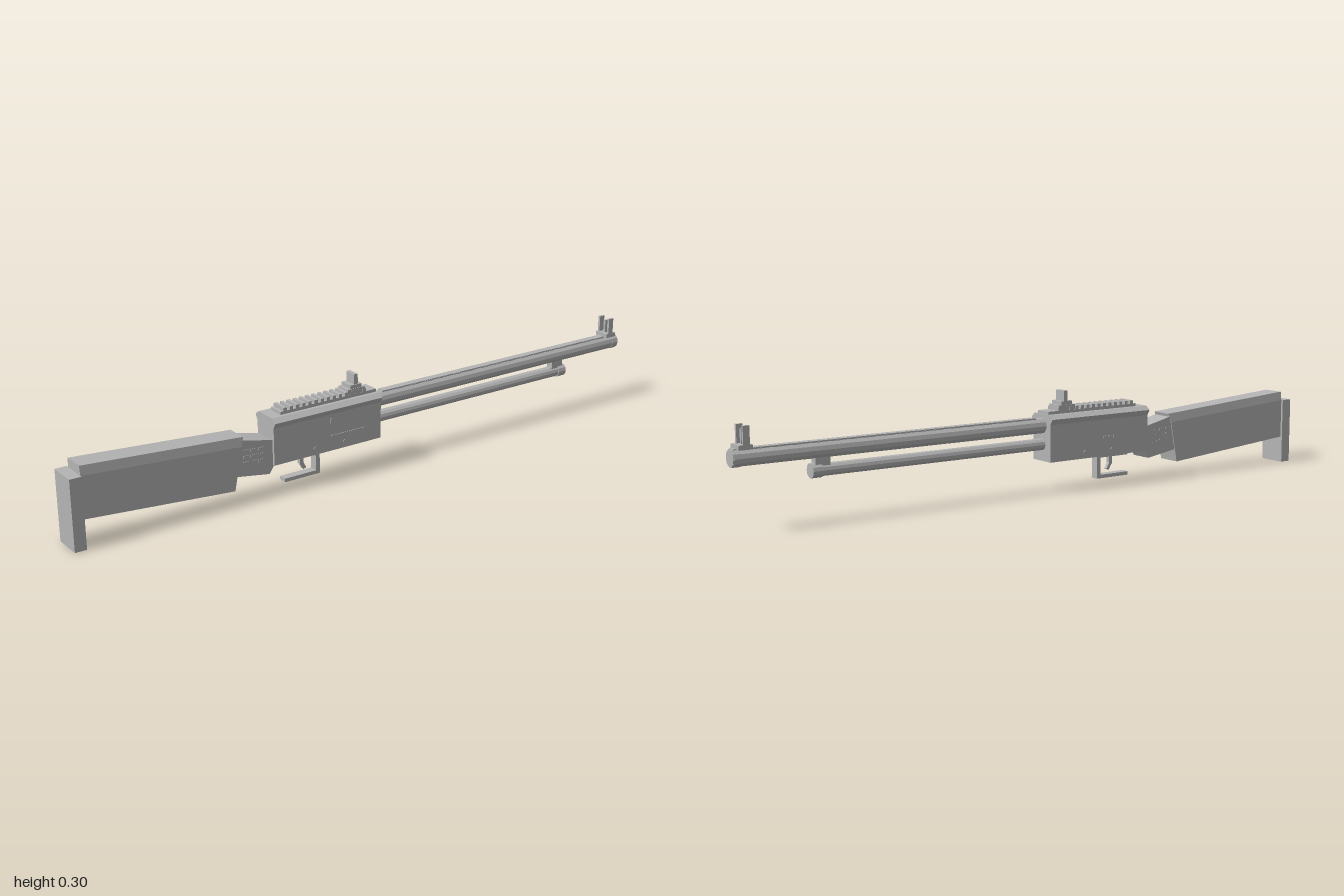
import * as THREE from 'three';

export function createModel() {
  const root = new THREE.Group();
  root.name = 'longGun';
  const grey = new THREE.MeshStandardMaterial({ color: 0xb4b4b4 });
  grey.name = 'plain grey';
  grey.flatShading = true;

  const add = (name, geometry, parent = root) => {
    const mesh = new THREE.Mesh(geometry, grey);
    mesh.name = name;
    parent.add(mesh);
    return mesh;
  };
  const group = (name) => {
    const g = new THREE.Group();
    g.name = name;
    root.add(g);
    return g;
  };
  // Box given by its limits on each axis
  const box = (name, x0, x1, y0, y1, z0, z1, parent) => {
    const g = new THREE.BoxGeometry(x1 - x0, y1 - y0, z1 - z0);
    g.translate((x0 + x1) / 2, (y0 + y1) / 2, (z0 + z1) / 2);
    return add(name, g, parent);
  };
  const shapeOf = (points) => new THREE.Shape(points.map(([a, b]) => new THREE.Vector2(a, b)));
  // Side outline in (z, y), spread evenly over the width
  const sideProfile = (name, points, width, narrow) => {
    const g = new THREE.ExtrudeGeometry(shapeOf(points), { depth: width, bevelEnabled: false });
    g.translate(0, 0, -width / 2).rotateY(-Math.PI / 2);
    if (narrow) {
      const p = g.attributes.position;
      for (let i = 0; i < p.count; i++) p.setX(i, p.getX(i) * narrow(p.getZ(i), p.getY(i)));
      g.computeVertexNormals();
    }
    return add(name, g);
  };
  // Front outline in (x, y), swept from z0 to z1
  const sweep = (name, points, z0, z1) => {
    const g = new THREE.ExtrudeGeometry(shapeOf(points), { depth: z1 - z0, bevelEnabled: false });
    return add(name, g.translate(0, 0, z0));
  };
  const tube = (name, r, x, y, z0, z1, sides = 12, parent = root) => {
    const g = new THREE.CylinderGeometry(r, r, z1 - z0, sides);
    return add(name, g.rotateX(Math.PI / 2).translate(x, y, (z0 + z1) / 2), parent);
  };

  // Butt plate and shoulder stock with a chamfered comb
  box('buttPlate', -0.045, 0.045, 0, 0.21, 0.965, 1);
  const combTop = (z) => 0.203 + (z - 0.47) * 0.069;
  sideProfile('stock', [
    [0.965, 0.085], [0.965, combTop(0.965) - 0.028], [0.478, combTop(0.478) - 0.028], [0.503, 0.047],
  ], 0.076);
  sideProfile('stockComb', [
    [0.965, combTop(0.965) - 0.028], [0.965, combTop(0.965)], [0.47, combTop(0.47)], [0.478, combTop(0.478) - 0.028],
  ], 0.076, (z, y) => (y > combTop(z) - 0.01 ? 0.9 : 1));

  // Wrist with rows of small grip slots on both sides
  sideProfile('wrist', [
    [0.5, 0.088], [0.485, 0.196], [0.37, 0.17], [0.37, 0.095], [0.387, 0.07],
  ], 0.07);
  const slots = group('gripSlots');
  for (const side of [-1, 1]) {
    for (let row = 0; row < 3; row++) {
      for (let col = 0; col < 3; col++) {
        const x = side * 0.0355, y = 0.115 + row * 0.018 + col * 0.002, z = 0.405 + col * 0.025;
        box('gripSlot', x - 0.001, x + 0.001, y, y + 0.008, z, z + 0.018, slots);
      }
    }
  }

  // Receiver with flared shoulders
  const half = [[0.043, 0.095], [0.043, 0.208], [0.053, 0.225], [0.037, 0.237]];
  sweep('receiver', [...half, ...half.slice().reverse().map(([x, y]) => [-x, y])], 0, 0.375);
  const trim = group('receiverDetails');
  box('portEdge', 0.043, 0.045, 0.14, 0.143, 0.06, 0.18, trim);
  box('portSide', 0.043, 0.045, 0.14, 0.195, 0.177, 0.18, trim);
  for (let i = 0; i < 3; i++) box('sideVent', -0.045, -0.043, 0.15, 0.158, 0.2 + i * 0.02, 0.214 + i * 0.02, trim);
  for (const z of [0.13, 0.235]) {
    const pin = new THREE.CylinderGeometry(0.006, 0.006, 0.091, 8);
    add('crossPin', pin.rotateZ(Math.PI / 2).translate(0, 0.115, z), trim);
  }
  box('loadingGate', -0.015, 0.015, 0.091, 0.095, 0.06, 0.18, trim);

  // Toothed top rail
  const rail = group('topRail');
  box('railBase', -0.026, 0.026, 0.237, 0.246, 0.005, 0.34, rail);
  for (let i = 0; i < 14; i++) {
    const z = 0.042 + i * 0.0213;
    box('railTooth', -0.026, 0.026, 0.246, 0.256, z, z + 0.011, rail);
  }

  // Stepped rear sight
  const rear = group('rearSight');
  box('sightBase', -0.025, 0.025, 0.246, 0.262, 0.045, 0.105, rear);
  box('sightStep', -0.023, 0.023, 0.262, 0.273, 0.055, 0.095, rear);
  box('sightLeaf', -0.02, 0.02, 0.273, 0.304, 0.067, 0.08, rear);

  // Trigger and open L-shaped guard
  const trigger = group('triggerGroup');
  box('guardBar', -0.013, 0.013, 0.02, 0.031, 0.2, 0.322, trigger);
  box('guardPost', -0.013, 0.013, 0.03, 0.096, 0.2, 0.214, trigger);
  box('guardMount', -0.013, 0.013, 0.085, 0.096, 0.2, 0.32, trigger);
  box('triggerBlade', -0.006, 0.006, 0.06, 0.096, 0.253, 0.265, trigger);
  const tip = box('triggerTip', -0.006, 0.006, -0.011, 0.011, -0.005, 0.005, trigger);
  tip.position.set(0, 0.054, 0.253);
  tip.rotation.x = 0.5;

  // Barrel with a raised rib and vents along it
  tube('barrel', 0.024, 0, 0.203, -1, 0.01);
  const rib = group('barrelRib');
  box('ribBody', -0.012, 0.012, 0.21, 0.228, -0.995, -0.03, rib);
  for (const side of [-1, 1]) {
    for (let i = 0; i < 16; i++) {
      const z = -0.08 - i * 0.055;
      const x = side * 0.0125;
      box('ribVent', x - 0.001, x + 0.001, 0.2235, 0.2265, z - 0.03, z, rib);
    }
  }
  tube('muzzleRing', 0.0255, 0, 0.203, -0.998, -0.975);

  // Magazine tube below the barrel, with end cap and clamp
  tube('magazineTube', 0.018, 0, 0.146, -0.765, 0.01);
  tube('magazineCap', 0.021, 0, 0.146, -0.77, -0.74);
  box('barrelClamp', -0.012, 0.012, 0.155, 0.19, -0.76, -0.715);

  // Front sight: base, two guards and a post
  const front = group('frontSight');
  box('frontSightBase', -0.025, 0.025, 0.225, 0.238, -0.985, -0.945, front);
  for (const side of [-1, 1]) {
    const x = side * 0.021;
    box('sightGuard', x - 0.004, x + 0.004, 0.238, 0.289, -0.972, -0.953, front);
  }
  box('sightPost', -0.004, 0.004, 0.238, 0.28, -0.968, -0.957, front);

  return root;
}
